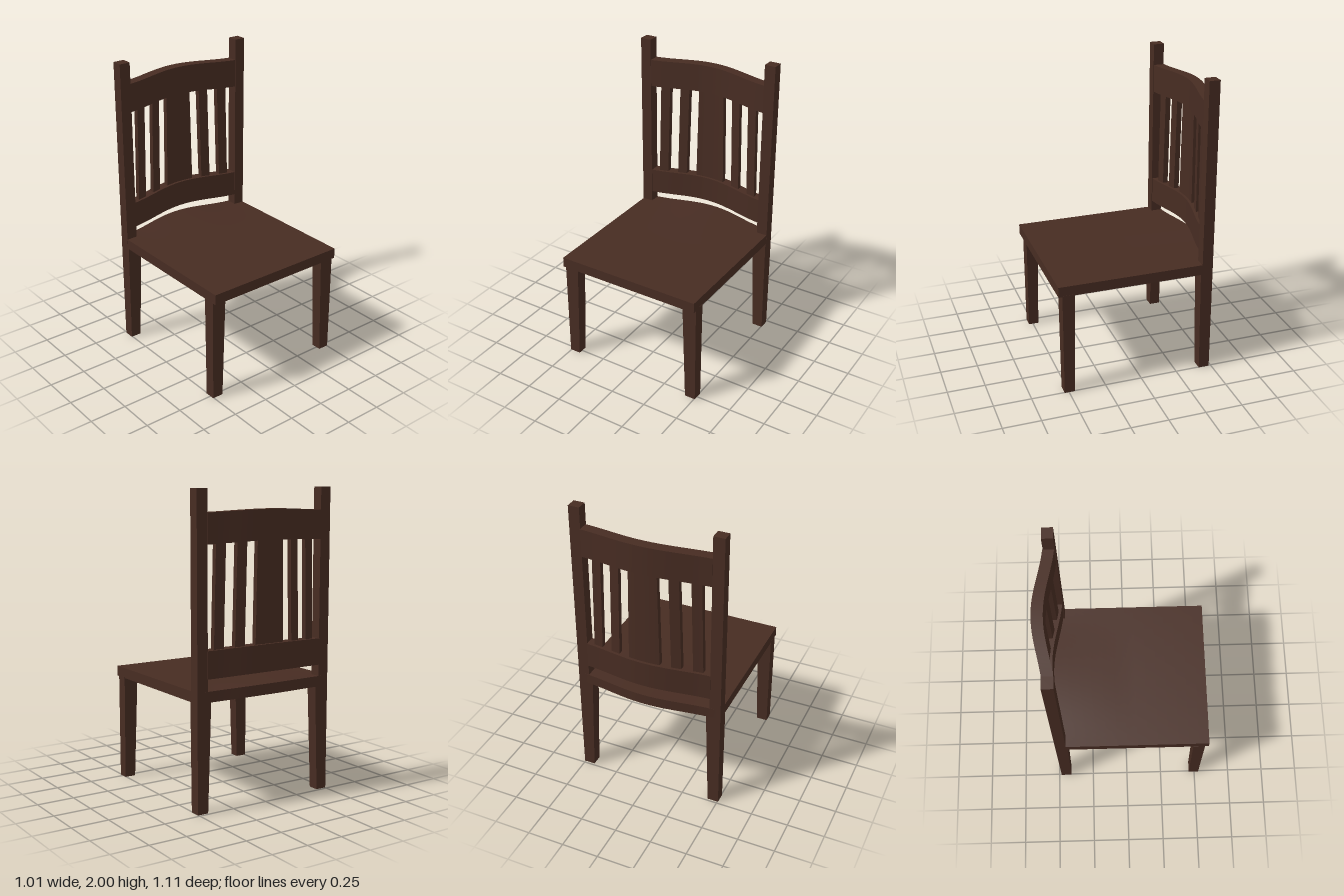
import * as THREE from 'three';

const wood = new THREE.MeshStandardMaterial({ color: 0x472c22 });
wood.name = 'dark wood';

const BOW = 0.07;   // how far the back curves rearward at the middle
const RISE = 0.017; // how far the rails crown upward at the middle
const bow = (x) => 0.5 + 0.5 * Math.cos(Math.PI * Math.min(1, Math.abs(x) / 0.505));

// Box given by its limits, with its vertices moved by a rule
function warpedBox(name, [x0, x1], [y0, y1], [z0, z1], rule, segX = 1, segZ = 1) {
  const g = new THREE.BoxGeometry(x1 - x0, y1 - y0, z1 - z0, segX, 1, segZ);
  g.translate((x0 + x1) / 2, (y0 + y1) / 2, (z0 + z1) / 2);
  const p = g.attributes.position;
  const v = new THREE.Vector3();
  for (let i = 0; i < p.count; i++) {
    v.fromBufferAttribute(p, i);
    rule(v);
    p.setXYZ(i, v.x, v.y, v.z);
  }
  g.computeVertexNormals();
  const mesh = new THREE.Mesh(g, wood);
  mesh.name = name;
  return mesh;
}

const curveBack = (v) => {
  const b = bow(v.x);
  v.z -= BOW * b;
  v.y += RISE * b;
};

export function createModel() {
  const chair = new THREE.Group();
  chair.name = 'chair';

  // Seat: flat in front, its rear half easing into the curve of the back
  chair.add(warpedBox('seat', [-0.504, 0.504], [0.703, 0.772], [-0.484, 0.555], (v) => {
    const b = bow(v.x) * Math.max(0, -v.z / 0.484);
    v.z -= BOW * b;
    v.y += RISE * b;
  }, 24, 15));

  // Legs taper on their inner faces; posts continue the back legs upward
  for (const side of [1, -1]) {
    const label = side > 0 ? 'left' : 'right';
    const xs = side > 0 ? [0.43, 0.505] : [-0.505, -0.43];
    for (const [name, z0, z1] of [['FrontLeg', 0.46, 0.53], ['BackLeg', -0.485, -0.413]]) {
      const inner = name === 'FrontLeg' ? z0 : z1;
      chair.add(warpedBox(label + name, xs, [0, 0.71], [z0, z1], (v) => {
        if (v.y < 0.5) return;
        if (Math.abs(v.x) < 0.45) v.x -= side * 0.024;
        if (Math.abs(v.z - inner) < 0.01) v.z -= Math.sign(inner) * 0.01;
      }));
    }
    chair.add(warpedBox(label + 'BackPost', xs, [0.71, 2], [-0.485, -0.413], () => {}));
  }

  // Curved rails
  chair.add(warpedBox('lowerRail', [-0.432, 0.432], [0.848, 1.023], [-0.485, -0.413], curveBack, 32));
  chair.add(warpedBox('topRail', [-0.432, 0.432], [1.667, 1.856], [-0.485, -0.413], curveBack, 32));

  // Slats lean slightly towards the middle and follow the curve
  const slat = (name, bottom, top, seg) => warpedBox(name, bottom, [1.01, 1.68], [-0.466, -0.431], (v) => {
    const t = (v.y - 1.01) / 0.67;
    const u = (v.x - bottom[0]) / (bottom[1] - bottom[0]);
    v.x += t * (top[0] + u * (top[1] - top[0]) - v.x);
    curveBack(v);
  }, seg);
  chair.add(slat('centreSlat', [-0.107, 0.107], [-0.095, 0.095], 10));
  for (const [name, a, b] of [['InnerSlat', 0.18, 0.243], ['OuterSlat', 0.316, 0.38]]) {
    chair.add(slat('left' + name, [a, b], [a - 0.015, b - 0.015], 3));
    chair.add(slat('right' + name, [-b, -a], [0.015 - b, 0.015 - a], 3));
  }
  return chair;
}
